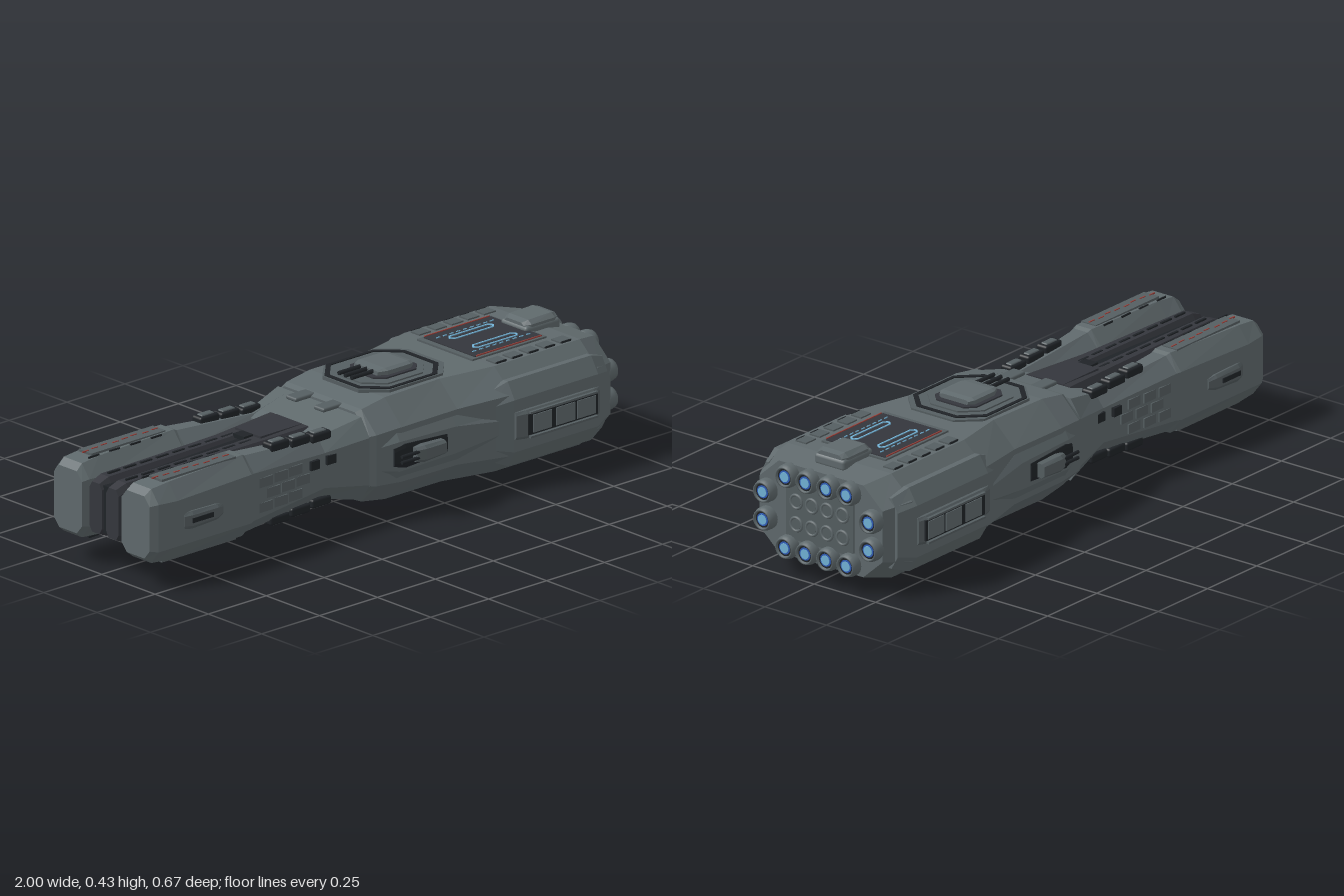
import * as THREE from 'three';
import { RoundedBoxGeometry } from 'three/addons/geometries/RoundedBoxGeometry.js';

const CY = 0.212; // height of the long axis
const mat = (name, color) => Object.assign(new THREE.MeshStandardMaterial({ color }), { name });

export function createModel() {
  const hull = mat('hull grey', 0x5f696c);
  const plate = mat('plate grey', 0x555e61);
  const dark = mat('dark panel', 0x34363c);
  const black = mat('trim black', 0x1f2327);
  const blue = mat('engine blue', 0x2f5cb8);
  const glow = mat('glow light blue', 0x72b2d6);
  const red = mat('marking red', 0x96403a);

  const root = new THREE.Group();
  root.name = 'spaceship';
  const add = (name, geo, m, x = 0, y = 0, z = 0) => {
    const mesh = new THREE.Mesh(geo, m);
    mesh.name = name;
    mesh.position.set(x, y, z);
    root.add(mesh);
    return mesh;
  };
  const box = (name, m, x, y, z, sx, sy, sz) => add(name, new THREE.BoxGeometry(sx, sy, sz), m, x, y, z);
  const rbox = (name, m, x, y, z, sx, sy, sz, r) =>
    add(name, new RoundedBoxGeometry(sx, sy, sz, 2, r), m, x, y, z);

  // Chamfered octagon sections [x, z0, z1, halfHeight, chamferZ, chamferY] joined along x
  const loft = (name, m, sections, cy = CY) => {
    const rings = sections.map(([x, z0, z1, h, cz, ch]) => {
      const lo = cy - h, hi = cy + h;
      return [[z1, lo + ch], [z1, hi - ch], [z1 - cz, hi], [z0 + cz, hi],
        [z0, hi - ch], [z0, lo + ch], [z0 + cz, lo], [z1 - cz, lo]].map(([z, y]) => [x, y, z]);
    });
    const pos = [];
    const tri = (...p) => p.forEach((v) => pos.push(...v));
    for (let k = 0; k + 1 < rings.length; k++) {
      for (let i = 0; i < 8; i++) {
        const j = (i + 1) % 8, a = rings[k], b = rings[k + 1];
        tri(a[i], b[i], b[j]);
        tri(a[i], b[j], a[j]);
      }
    }
    const first = rings[0], last = rings[rings.length - 1];
    for (let i = 1; i < 7; i++) {
      tri(first[0], first[i], first[i + 1]);
      tri(last[0], last[i + 1], last[i]);
    }
    const g = new THREE.BufferGeometry();
    g.setAttribute('position', new THREE.Float32BufferAttribute(pos, 3));
    g.computeVertexNormals();
    return add(name, g, m);
  };
  // The same loft on side s (+1 or -1), sections given for +z
  const sideLoft = (name, m, s, sections, cy) => loft(name, m, sections.map(([x, a, b, ...r]) =>
    s > 0 ? [x, a, b, ...r] : [x, -b, -a, ...r]), cy);
  const sym = (list) => list.map(([x, w, ...r]) => [x, -w, w, ...r]);

  // Flat polygon lying level, with optional hole, thickness t
  const slab = (name, m, pts, hole, y, t) => {
    const v = (p) => p.map(([x, z]) => new THREE.Vector2(x, z));
    const shape = new THREE.Shape(v(pts));
    if (hole) shape.holes.push(new THREE.Path(v(hole)));
    const g = new THREE.ExtrudeGeometry(shape, { depth: t, bevelEnabled: false });
    g.rotateX(-Math.PI / 2).translate(0, -t / 2, 0);
    return add(name, g, m, 0, y, 0);
  };
  const oct = (x0, x1, w, c) => [[x0, -w + c], [x0 + c, -w], [x1 - c, -w], [x1, -w + c],
    [x1, w - c], [x1 - c, w], [x0 + c, w], [x0, w - c]];

  // Main hull, from neck collar to stern
  loft('neck', hull, sym([[-0.24, 0.19, 0.095, 0.06, 0.05], [-0.19, 0.2, 0.11, 0.06, 0.055],
    [-0.06, 0.235, 0.14, 0.07, 0.06]]));
  loft('midHull', hull, sym([[-0.06, 0.235, 0.148, 0.07, 0.065], [-0.04, 0.245, 0.156, 0.07, 0.07],
    [0.06, 0.255, 0.172, 0.08, 0.08], [0.3, 0.255, 0.174, 0.085, 0.08], [0.5, 0.295, 0.178, 0.085, 0.075],
    [0.87, 0.295, 0.178, 0.085, 0.075], [0.965, 0.25, 0.157, 0.078, 0.07]]));
  loft('sternBlock', plate, sym([[0.95, 0.137, 0.095, 0.012, 0.012], [0.972, 0.137, 0.095, 0.012, 0.012]]));

  // Bow core beams with a groove between, widening toward the neck
  for (const s of [1, -1]) {
    sideLoft('coreBeam', dark, s, [[-0.99, 0.01, 0.068, 0.085, 0.012, 0.02], [-0.95, 0.01, 0.072, 0.1, 0.012, 0.02],
      [-0.45, 0.012, 0.082, 0.104, 0.012, 0.02], [-0.19, 0.012, 0.1, 0.113, 0.012, 0.02]]);
  }
  loft('coreSpine', black, sym([[-0.98, 0.02, 0.08, 0.005, 0.005], [-0.2, 0.02, 0.1, 0.005, 0.005]]));
  for (const t of [1, -1]) {
    box('coreCap', dark, -0.28, CY + t * 0.108, 0, 0.18, 0.012, 0.12);
    box('coreHead', black, -0.39, CY + t * 0.106, 0, 0.04, 0.014, 0.05);
    for (let i = 0; i < 8; i++) {
      for (const s of [1, -1]) {
        box('coreRib', black, -0.91 + i * 0.07, CY + t * 0.103, s * 0.042, 0.05, 0.006, 0.008);
        if (t < 0) box('coreLight', glow, -0.91 + i * 0.07, CY - 0.104, s * 0.028, 0.05, 0.006, 0.006);
      }
    }
  }

  for (const s of [1, -1]) {
    // Bow prongs
    sideLoft('bowProng', hull, s, [[-1, 0.092, 0.225, 0.105, 0.025, 0.03], [-0.975, 0.085, 0.24, 0.125, 0.035, 0.045],
      [-0.9, 0.082, 0.246, 0.132, 0.04, 0.055], [-0.57, 0.085, 0.236, 0.137, 0.045, 0.055],
      [-0.555, 0.088, 0.23, 0.13, 0.045, 0.05], [-0.22, 0.1, 0.2, 0.104, 0.035, 0.045],
      [-0.06, 0.1, 0.235, 0.14, 0.04, 0.06]]);
    sideLoft('bowGunHousing', plate, s, [[-0.87, 0.23, 0.248, 0.026, 0.005, 0.01],
      [-0.84, 0.23, 0.258, 0.03, 0.008, 0.012], [-0.73, 0.23, 0.256, 0.026, 0.008, 0.01],
      [-0.7, 0.23, 0.246, 0.018, 0.005, 0.008]]);
    box('bowGunSlot', black, -0.8, CY, s * 0.257, 0.09, 0.016, 0.006);

    // Neck side ports and armour tiles
    for (const x of [-0.275, -0.2]) box('neckPort', black, x, CY + 0.035, s * (x < -0.25 ? 0.209 : 0.203), 0.038, 0.03, 0.014);
    for (let i = 0; i < 9; i++) {
      const x = -0.5 + (i % 3) * 0.07 + (i > 2 && i < 6 ? 0.035 : 0);
      box('neckTile', plate, x, CY - 0.045 + Math.floor(i / 3) * 0.042, s * (0.229 - (x + 0.555) * 0.09), 0.058, 0.032, 0.008);
    }

    // Side bulge with gun mount
    sideLoft('sideBulge', hull, s, [[-0.02, 0.2, 0.247, 0.06, 0.015, 0.02], [0.04, 0.2, 0.268, 0.085, 0.02, 0.035],
      [0.28, 0.2, 0.272, 0.08, 0.02, 0.035], [0.48, 0.2, 0.29, 0.04, 0.015, 0.02]]);
    sideLoft('sideGunRecess', black, s, [[0.02, 0.255, 0.268, 0.03, 0.003, 0.012],
      [0.06, 0.255, 0.276, 0.04, 0.003, 0.012], [0.24, 0.255, 0.276, 0.03, 0.003, 0.012]]);
    sideLoft('sideGunMount', plate, s, [[0.09, 0.26, 0.296, 0.024, 0.008, 0.008],
      [0.12, 0.26, 0.308, 0.028, 0.01, 0.01], [0.21, 0.26, 0.304, 0.024, 0.01, 0.008]]);
    for (const t of [1, -1]) {
      add('sideGunBarrel', new THREE.CylinderGeometry(0.006, 0.006, 0.09, 10).rotateZ(Math.PI / 2), black,
        0.07, CY + t * 0.01, s * 0.294);
    }

    // Stern side armour and hangar doors
    sideLoft('sternArmour', hull, s, [[0.42, 0.22, 0.275, 0.11, 0.025, 0.04], [0.5, 0.22, 0.307, 0.143, 0.033, 0.055],
      [0.86, 0.22, 0.307, 0.143, 0.033, 0.055], [0.925, 0.22, 0.28, 0.12, 0.025, 0.045]]);
    sideLoft('hangarFrame', plate, s, [[0.5, 0.29, 0.315, 0.046, 0.006, 0.01], [0.54, 0.29, 0.325, 0.048, 0.008, 0.01],
      [0.83, 0.29, 0.325, 0.048, 0.008, 0.01], [0.86, 0.29, 0.315, 0.046, 0.006, 0.01]]);
    box('hangarRecess', black, 0.69, CY, s * 0.324, 0.3, 0.07, 0.006);
    for (const x of [0.6, 0.7, 0.79]) box('hangarDoor', hull, x, CY, s * 0.326, 0.08, 0.06, 0.008);
    for (const t of [1, -1]) box('hangarRail', plate, 0.69, CY + t * 0.041, s * 0.33, 0.29, 0.007, 0.01);
  }

  // Gear shared by top and bottom
  for (const t of [1, -1]) {
    const Y = (h) => CY + t * h;
    slab('turretBase', plate, oct(0.03, 0.4, 0.155, 0.07), null, Y(0.176), 0.012);
    slab('turretRing', black, oct(0.035, 0.38, 0.15, 0.07), oct(0.05, 0.365, 0.138, 0.066), Y(0.181), 0.008);
    slab('turretDeck', plate, oct(0.07, 0.34, 0.115, 0.06), null, Y(0.183), 0.008);
    slab('turretFoot', dark, oct(0.12, 0.31, 0.085, 0.03), null, Y(0.188), 0.008);
    loft('turret', hull, sym([[0.14, 0.055, 0.008, 0.006, 0.003], [0.17, 0.07, 0.013, 0.014, 0.006],
      [0.27, 0.07, 0.013, 0.014, 0.006], [0.29, 0.058, 0.008, 0.01, 0.004]]), Y(0.199));
    for (const z of [-0.03, 0, 0.03]) {
      add('turretBarrel', new THREE.CylinderGeometry(0.007, 0.007, 0.13, 10).rotateZ(Math.PI / 2), black,
        0.115, Y(0.201), z);
    }
    for (const s of [1, -1]) {
      rbox('deckPad', plate, -0.08, Y(0.148), s * 0.065, 0.09, 0.014, 0.05, 0.006);
      // Neck point defence row
      for (let i = 0; i < 3; i++) {
        const x = -0.4 + i * 0.09, h = 0.124 - i * 0.007;
        rbox('defenceMount', black, x, Y(h), s * 0.165, 0.082, 0.03, 0.045, 0.008);
        rbox('defenceCover', plate, x, Y(h + 0.012), s * 0.165, 0.055, 0.014, 0.026, 0.005);
      }
      // Bow deck markings
      box('bowDeckPlate', plate, -0.76, Y(0.136), s * 0.165, 0.32, 0.008, 0.06);
      for (let i = 0; i < 8; i++) {
        box('bowMarking', red, -0.92 + i * 0.043, Y(0.14), s * (0.163 + (i % 3) * 0.004), 0.026, 0.005, 0.004);
      }
      for (let i = 0; i < 4; i++) box('bowSlot', black, -0.92 + i * 0.09, Y(0.134), s * 0.125, 0.045, 0.006, 0.004);
      // Stern deck plates
      for (let i = 0; i < 5; i++) box('deckPlate', plate, 0.54 + i * 0.07, Y(0.179), s * 0.178, 0.05, 0.008, 0.042);
      for (let i = 0; i < 5; i++) box('deckSlot', black, 0.54 + i * 0.07, Y(0.18), s * 0.2, 0.04, 0.008, 0.004);
    }
    slab('panelFrame', plate, [[0.48, -0.13], [0.8, -0.13], [0.8, 0.13], [0.48, 0.13]], null, Y(0.18), 0.008);
    box('deckPanel', t > 0 ? dark : black, 0.645, Y(0.183), 0, 0.29, 0.008, 0.24);
  }

  // Lit landing panel on top
  const py = CY + 0.188;
  for (const s of [1, -1]) {
    box('panelEdge', red, 0.645, py, s * 0.122, 0.28, 0.004, 0.004);
    const mark = oct(0.55, 0.74, 0.016, 0.012), inner = oct(0.557, 0.733, 0.011, 0.009);
    slab('panelMark', glow, mark, inner, py, 0.004).position.z = s * 0.055;
    for (let i = 0; i < 9; i++) box('panelDash', glow, 0.53 + i * 0.029, py, s * 0.085, 0.016, 0.004, 0.003);
  }
  // Command tower
  rbox('towerBase', hull, 0.85, 0.392, 0, 0.15, 0.04, 0.125, 0.012);
  loft('tower', hull, sym([[0.78, 0.045, 0.014, 0.012, 0.008], [0.8, 0.06, 0.022, 0.016, 0.012],
    [0.9, 0.06, 0.024, 0.016, 0.014], [0.92, 0.05, 0.018, 0.014, 0.01]]), 0.406);
  // Open cargo bay underneath
  for (let i = 0; i < 3; i++) {
    const x = 0.55 + i * 0.08;
    rbox('bayPod', dark, x, 0.02, 0, 0.055, 0.024, 0.13, 0.008);
    for (const s of [1, -1]) box('bayPodMark', red, x, 0.008, s * 0.04, 0.03, 0.004, 0.02);
  }
  for (const s of [1, -1]) box('bayRail', plate, 0.645, 0.024, s * 0.09, 0.28, 0.012, 0.012);
  for (const x of [0.51, 0.75, 0.78]) box('bayBeam', plate, x, 0.024, 0, 0.012, 0.01, 0.23);

  // Main engines
  const disc = (name, m, r, x, y, z, len) =>
    add(name, new THREE.CylinderGeometry(r, r, len, 24).rotateZ(Math.PI / 2), m, x, y, z);
  const bell = [[0.02, 0.94], [0.036, 0.945], [0.039, 0.965], [0.039, 0.985], [0.034, 1], [0.029, 1], [0.026, 0.985]]
    .map(([r, x]) => new THREE.Vector2(r, x));
  const engine = (y, z) => {
    const g = new THREE.LatheGeometry(bell, 24).rotateZ(-Math.PI / 2);
    add('engineBell', g, hull, 0, y, z);
    disc('engineThroat', black, 0.0285, 0.985, y, z, 0.016);
    disc('engineRing', blue, 0.0215, 0.99, y, z, 0.01);
    disc('engineGlow', glow, 0.0165, 0.992, y, z, 0.01);
  };
  for (const s of [1, -1]) {
    for (const z of [0.042, 0.125]) for (const y of [0.333, 0.09]) engine(y, s * z);
    for (const y of [0.26, 0.165]) engine(y, s * 0.215);
    // Small vernier nozzles
    for (const z of [0.031, 0.094]) {
      for (const y of [0.25, 0.173]) {
        add('vernierRing', new THREE.TorusGeometry(0.0225, 0.005, 6, 24).rotateY(Math.PI / 2), hull, 0.973, y, s * z);
        disc('vernierCup', plate, 0.018, 0.97, y, s * z, 0.01);
      }
    }
  }
  return root;
}
